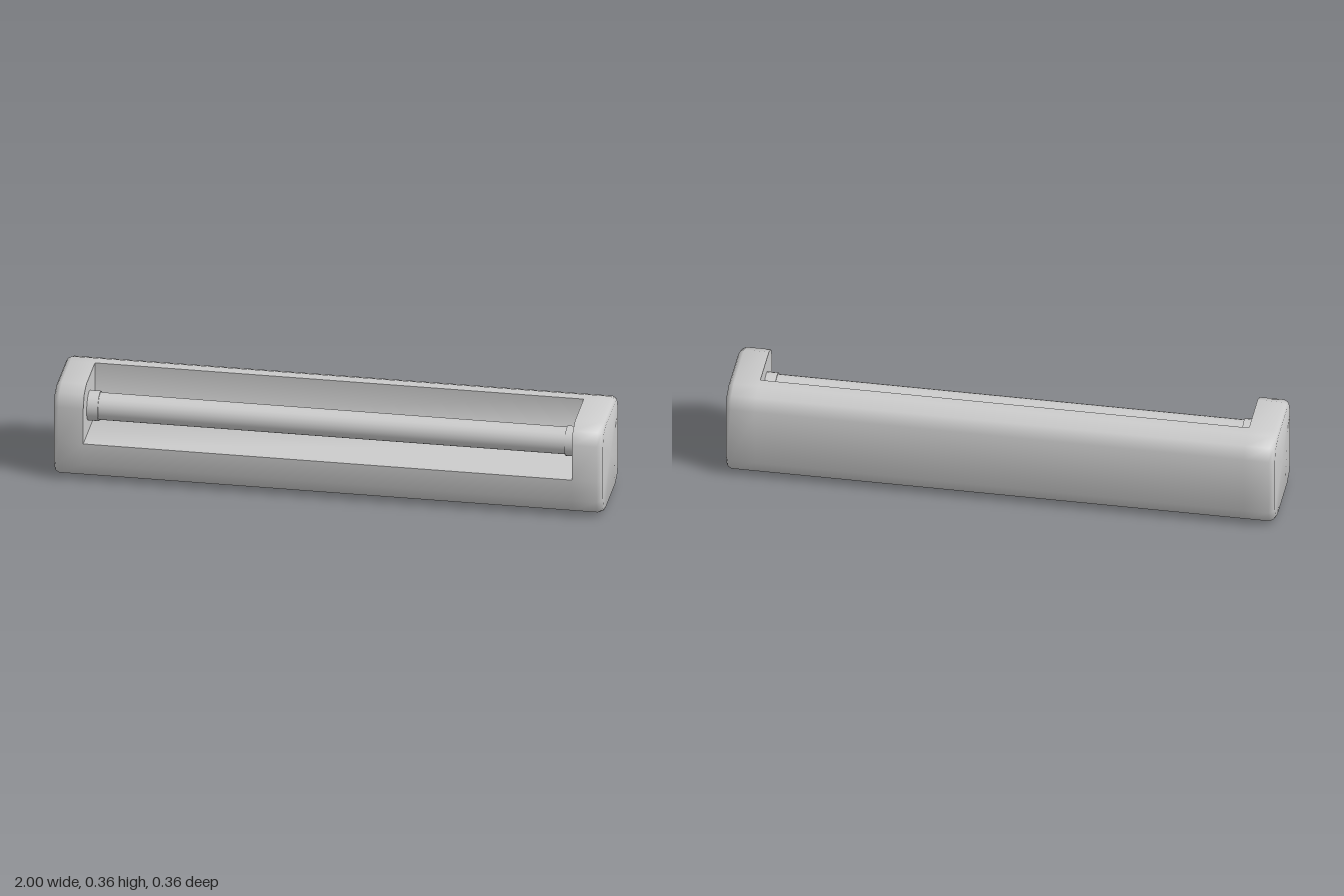
import * as THREE from 'three';
import { mergeVertices, toCreasedNormals } from 'three/addons/utils/BufferGeometryUtils.js';

const MID_Y = 0.178; // height of the housing's axis
const NOTCH_X = 0.89; // half length of the recess

// Housing section as [z, y], from the upper lip round the back, bottom and front
const section = [
  [-0.07, 0.356], [-0.11, 0.356], [-0.158, 0.336], [-0.178, 0.288],
  [-0.178, 0.068], [-0.158, 0.02], [-0.11, 0], [0.11, 0],
  [0.158, 0.02], [0.178, 0.068], [0.178, 0.15], // front lip
  [0.178, 0.288], [0.158, 0.336], [0.11, 0.356],
];
const FRONT_LIP = 10;
const corner = [-0.07, 0.15]; // inner corner of the recess

const ring = (points, x, s = 1) =>
  points.map(([z, y]) => [x, MID_Y + (y - MID_Y) * s, z * s]);

// Skin between successive rings with rising x
function loft(out, rings, closed) {
  for (let r = 0; r + 1 < rings.length; r++) {
    const a = rings[r], b = rings[r + 1], n = a.length;
    for (let i = 0; i < (closed ? n : n - 1); i++) {
      const j = (i + 1) % n;
      out.push(a[i], b[i], b[j], a[i], b[j], a[j]);
    }
  }
}

// Flat fan of triangles facing -x, or +x when flipped
function fan(out, center, pts, closed, flip) {
  for (let i = 0; i < (closed ? pts.length : pts.length - 1); i++) {
    const p = pts[i], q = pts[(i + 1) % pts.length];
    out.push(center, ...(flip ? [q, p] : [p, q]));
  }
}

function toGeometry(triangles) {
  const g = new THREE.BufferGeometry();
  g.setAttribute('position', new THREE.Float32BufferAttribute(triangles.flat(), 3));
  return g;
}

export function createModel() {
  const group = new THREE.Group();
  const material = new THREE.MeshStandardMaterial({ color: 0xcccccc });
  const add = (name, geometry) => {
    const mesh = new THREE.Mesh(geometry, material);
    mesh.name = name;
    group.add(mesh);
    return mesh;
  };

  // Housing: two full end blocks joined by a notched middle
  const body = [];
  const bevel = [[NOTCH_X, 1], [0.98, 1], [0.994, 0.965], [1, 0.91]];
  loft(body, bevel.map(([x, s]) => ring(section, x, s)), true);
  loft(body, bevel.map(([x, s]) => ring(section, -x, s)).reverse(), true);
  const open = section.slice(0, FRONT_LIP + 1);
  loft(body, [ring(open, -NOTCH_X), ring(open, NOTCH_X)], false);
  const cheek = [...section.slice(FRONT_LIP), section[0]];
  for (const side of [-1, 1]) {
    fan(body, [side, MID_Y, 0], ring(section, side, 0.91), true, side > 0);
    const x = side * NOTCH_X;
    fan(body, ring([corner], x)[0], ring(cheek, x), false, side < 0);
  }
  add('housing', toCreasedNormals(toGeometry(body), 0.9));

  // Recess: floor and back wall with a softly shaded corner
  const tray = [];
  const trayProfile = [section[FRONT_LIP], corner, section[0]];
  loft(tray, [ring(trayProfile, -NOTCH_X), ring(trayProfile, NOTCH_X)], false);
  const trayGeometry = mergeVertices(toGeometry(tray));
  trayGeometry.computeVertexNormals();
  add('recess', trayGeometry);

  // Lamp tube held by a socket at each end
  const rod = (name, radius, length, x) => {
    const g = new THREE.CylinderGeometry(radius, radius, length, 20);
    g.rotateZ(Math.PI / 2);
    add(name, g).position.set(x, 0.245, 0.052);
  };
  rod('lampTube', 0.05, 1.72, 0);
  for (const side of [-1, 1]) {
    rod(side > 0 ? 'leftSocket' : 'rightSocket', 0.055, 0.045, side * 0.8725);
  }
  return group;
}
